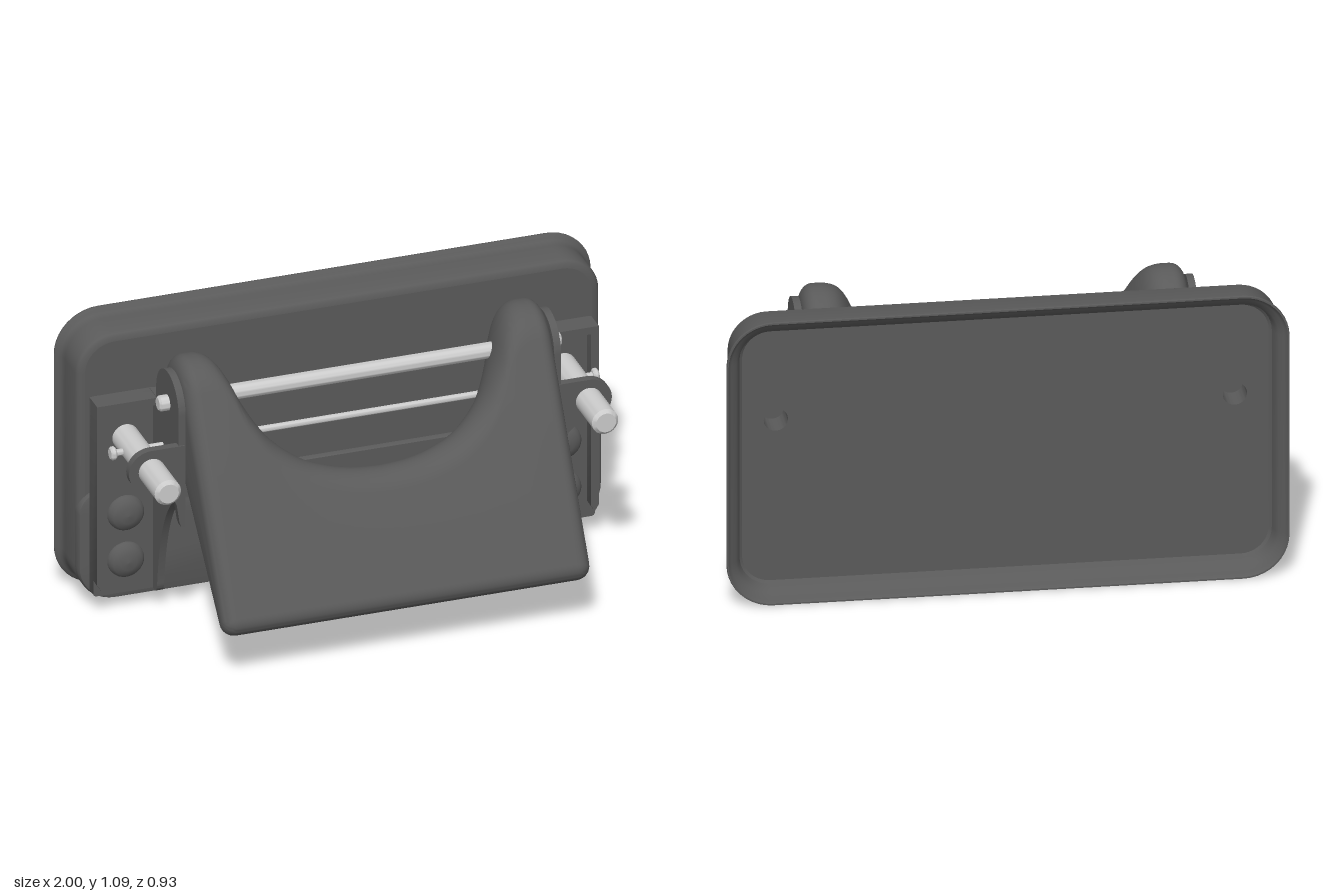
import * as THREE from 'three';
import { toCreasedNormals } from 'three/addons/utils/BufferGeometryUtils.js';

const dark = new THREE.MeshStandardMaterial({ color: 0x5a5a5a });
const steel = new THREE.MeshStandardMaterial({ color: 0xcccccc });

// Skin closed rings (each counter-clockwise about the direction of travel).
function loft(rings, capStart, capEnd) {
  const n = rings[0].length, pos = rings.flat().flat(), idx = [];
  for (let i = 0; i < rings.length - 1; i++) {
    for (let j = 0; j < n; j++) {
      const k = (j + 1) % n, a = i * n, b = a + n;
      idx.push(a + j, a + k, b + k, a + j, b + k, b + j);
    }
  }
  const cap = (ring, base, flip) => {
    const c = pos.length / 3;
    for (let d = 0; d < 3; d++) pos.push(ring.reduce((s, p) => s + p[d], 0) / n);
    for (let j = 0; j < n; j++) {
      const k = (j + 1) % n;
      if (flip) idx.push(c, base + k, base + j);
      else idx.push(c, base + j, base + k);
    }
  };
  if (capStart) cap(rings[0], 0, true);
  if (capEnd) cap(rings[rings.length - 1], (rings.length - 1) * n, false);
  const g = new THREE.BufferGeometry();
  g.setAttribute('position', new THREE.Float32BufferAttribute(pos, 3));
  g.setIndex(idx);
  return toCreasedNormals(g, 0.6);
}

// Rounded rectangle outline, counter-clockwise; the top corners may differ
function roundRect(x0, y0, x1, y1, r, z, n = 10, rTop = r) {
  const pts = [];
  [[x1 - rTop, y1 - rTop, rTop], [x0 + rTop, y1 - rTop, rTop], [x0 + r, y0 + r, r], [x1 - r, y0 + r, r]]
    .forEach(([cx, cy, rad], q) => {
      for (let i = 0; i <= n; i++) {
        const a = (q + i / n) * Math.PI / 2;
        pts.push([cx + rad * Math.cos(a), cy + rad * Math.sin(a), z]);
      }
    });
  return pts;
}

const toShape = pts => new THREE.Shape(pts.map(p => new THREE.Vector2(p[0], p[1])));
const slab = (shape, depth) => toCreasedNormals(
  new THREE.ExtrudeGeometry(shape, { depth, bevelEnabled: false, curveSegments: 24 }), 0.6);

export function createModel() {
  const model = new THREE.Group();
  const add = (parent, name, geo, mat, x = 0, y = 0, z = 0) => {
    const m = new THREE.Mesh(geo, mat);
    m.name = name;
    m.position.set(x, y, z);
    parent.add(m);
    return m;
  };

  // Round bar with chamfered ends, along x or z
  const bar = (r, len, axis) => {
    const c = r * 0.25, h = len / 2;
    const g = new THREE.LatheGeometry([[0, -h], [r - c, -h], [r, c - h], [r, h - c], [r - c, h], [0, h]]
      .map(p => new THREE.Vector2(...p)), 28);
    if (axis === 'x') g.rotateZ(-Math.PI / 2); else g.rotateX(Math.PI / 2);
    return toCreasedNormals(g, 0.6);
  };

  // Back tray: shallow inner wall, flared lip, outer wall and rounded front edge
  const tray = new THREE.Group();
  tray.name = 'backTray';
  model.add(tray);
  const trayRing = (z, out) => roundRect(-0.975 - out, 0.0225 - out, 0.975 + out, 1.0625 + out, 0.14 + out, z);
  add(tray, 'trayWall', loft([
    [-0.388, -0.04], [-0.396, -0.03], [-0.425, -0.022], [-0.44, -0.012], [-0.452, 0.006],
    [-0.46, 0.016], [-0.464, 0.018], [-0.464, 0.0235], [-0.456, 0.025], [-0.451, 0.021], [-0.446, 0.012],
    [-0.438, 0.005], [-0.427, 0.001], [-0.41, 0],
    [-0.305, 0], [-0.294, -0.005], [-0.288, -0.013], [-0.285, -0.03],
  ].map(p => trayRing(...p))), dark);

  // Tray floor with a hole behind each post
  const floor = toShape(trayRing(0, -0.03));
  for (const s of [-1, 1]) {
    floor.holes.push(new THREE.Path().absarc(s * 0.815, 0.681, 0.043, 0, Math.PI * 2, true));
  }
  add(tray, 'trayFloor', slab(floor, 0.103), dark, 0, 0, -0.388);

  // Thicker lower half of the tray front
  const padRing = (z, inset) => roundRect(
    inset - 0.975, 0.0225 + inset, 0.975 - inset, 0.455 - inset / 3, 0.14 - inset, z, 10, 0.08);
  add(tray, 'lowerPad', loft([padRing(-0.305, 0), padRing(-0.277, 0), padRing(-0.268, 0.005),
    padRing(-0.265, 0.015)], false, true), dark);

  // Pedal: a tapered capsule section whose top dips into a scoop mid-span
  const top = { z: -0.07, y: 0.88, r: 0.16 }, tip = { z: 0.413, y: 0.235, r: 0.054 };
  const dir = Math.atan2(tip.y - top.y, tip.z - top.z);
  const tangent = Math.acos((top.r - tip.r) / Math.hypot(tip.z - top.z, tip.y - top.y));
  const section = (x, crest, round) => {
    const t = (1.04 - crest) / 0.751, ring = [], n = 18, mix = k => top[k] + (tip[k] - top[k]) * t;
    const arc = (c, shrink, a0, a1) => {
      for (let i = 0; i <= n; i++) {
        const a = a0 + (a1 - a0) * i / n, r = c.r * (1 - shrink * round);
        ring.push([x, c.y + r * Math.sin(a), c.z + r * Math.cos(a)]);
      }
    };
    arc({ z: mix('z'), y: mix('y'), r: mix('r') }, 0.42, dir + tangent, dir + Math.PI * 2 - tangent);
    arc(tip, 0.85, dir - tangent, dir + tangent);
    return ring;
  };
  const scoop = new THREE.SplineCurve([[0, 0.625], [0.1, 0.631], [0.2, 0.651], [0.3, 0.69], [0.4, 0.768],
    [0.47, 0.872], [0.515, 0.97], [0.55, 1.018], [0.59, 1.038], [0.635, 1.04]].map(p => new THREE.Vector2(...p)));
  const half = scoop.getPoints(40).map(p => [p.x, Math.min(p.y, 1.04), 0]);
  for (let i = 1; i <= 8; i++) {
    const a = i / 8 * Math.PI / 2;
    half.push([0.635 + 0.05 * Math.sin(a), 1.04, 1 - Math.cos(a)]);
  }
  const stations = [...half].reverse().concat(half.slice(1).map(([x, c, s]) => [-x, c, s]));
  add(model, 'pedal', loft(stations.map(p => section(...p)), true, true), dark);

  // Hinge rod through the pedal ears, and the thin cross rod behind it
  add(model, 'hingeRod', bar(0.029, 1.5, 'x'), steel, 0, 0.877, -0.068);
  add(model, 'crossRod', bar(0.012, 1.8, 'x'), steel, 0, 0.681, -0.12);

  // Side brackets with posts
  for (const s of [-1, 1]) {
    const bracket = new THREE.Group();
    bracket.name = s > 0 ? 'leftBracket' : 'rightBracket';
    model.add(bracket);

    // Upright flange, drawn in z and y
    const flange = new THREE.Shape();
    flange.moveTo(-0.26, 0.065);
    flange.lineTo(-0.2, 0.065);
    flange.quadraticCurveTo(-0.18, 0.07, -0.178, 0.11);
    flange.bezierCurveTo(-0.15, 0.33, -0.09, 0.46, 0.05, 0.56);
    flange.lineTo(0.05, 0.877);
    flange.absarc(-0.07, 0.877, 0.12, 0, Math.PI, false);
    flange.lineTo(-0.19, 0.84);
    flange.lineTo(-0.26, 0.84);
    const flangeGeo = slab(flange, 0.026);
    flangeGeo.rotateY(-Math.PI / 2);
    add(bracket, 'flange', flangeGeo, dark, s * 0.7 + 0.013);

    // Base plate with a raised rim along the outside and top
    add(bracket, 'basePlate', slab(toShape(
      roundRect(0.69, 0.065, 0.935, 0.838, 0.012, 0, 4).map(([x, y]) => [s * x, y])), 0.042), dark, 0, 0, -0.267);
    add(bracket, 'plateRim', slab(toShape([[0.7, 0.838], [0.7, 0.81], [0.905, 0.81], [0.905, 0.13],
      [0.92, 0.105], [0.935, 0.13], [0.935, 0.838]].map(([x, y]) => [s * x, y])), 0.082), dark, 0, 0, -0.265);

    // Domed bolts
    for (const y of [0.381, 0.196]) {
      const dome = new THREE.LatheGeometry([[0.068, 0], [0.066, 0.012], [0.054, 0.027], [0.03, 0.036], [0, 0.039]]
        .map(p => new THREE.Vector2(...p)), 28);
      dome.rotateX(Math.PI / 2);
      add(bracket, 'bolt', dome, dark, s * 0.815, y, -0.226);
    }

    // Lug wrapped around the post
    const lug = [[0.69, 0.762]];
    for (let i = 0; i <= 20; i++) {
      const a = Math.PI * (0.5 - i / 20);
      lug.push([0.815 + 0.085 * Math.cos(a), 0.681 + 0.081 * Math.sin(a)]);
    }
    lug.push([0.77, 0.592], [0.74, 0.568], [0.722, 0.53], [0.712, 0.46], [0.705, 0.44], [0.69, 0.44]);
    add(bracket, 'postLug', slab(toShape(lug.map(([x, y]) => [s * x, y])), 0.03), dark, 0, 0, 0.025);

    // Post and the head of the cross rod
    add(bracket, 'post', bar(0.049, 0.475, 'z'), steel, s * 0.815, 0.681, 0);
    add(bracket, 'crossRodHead', bar(0.025, 0.022, 'x'), steel, s * 0.899, 0.681, -0.12);
  }
  return model;
}
